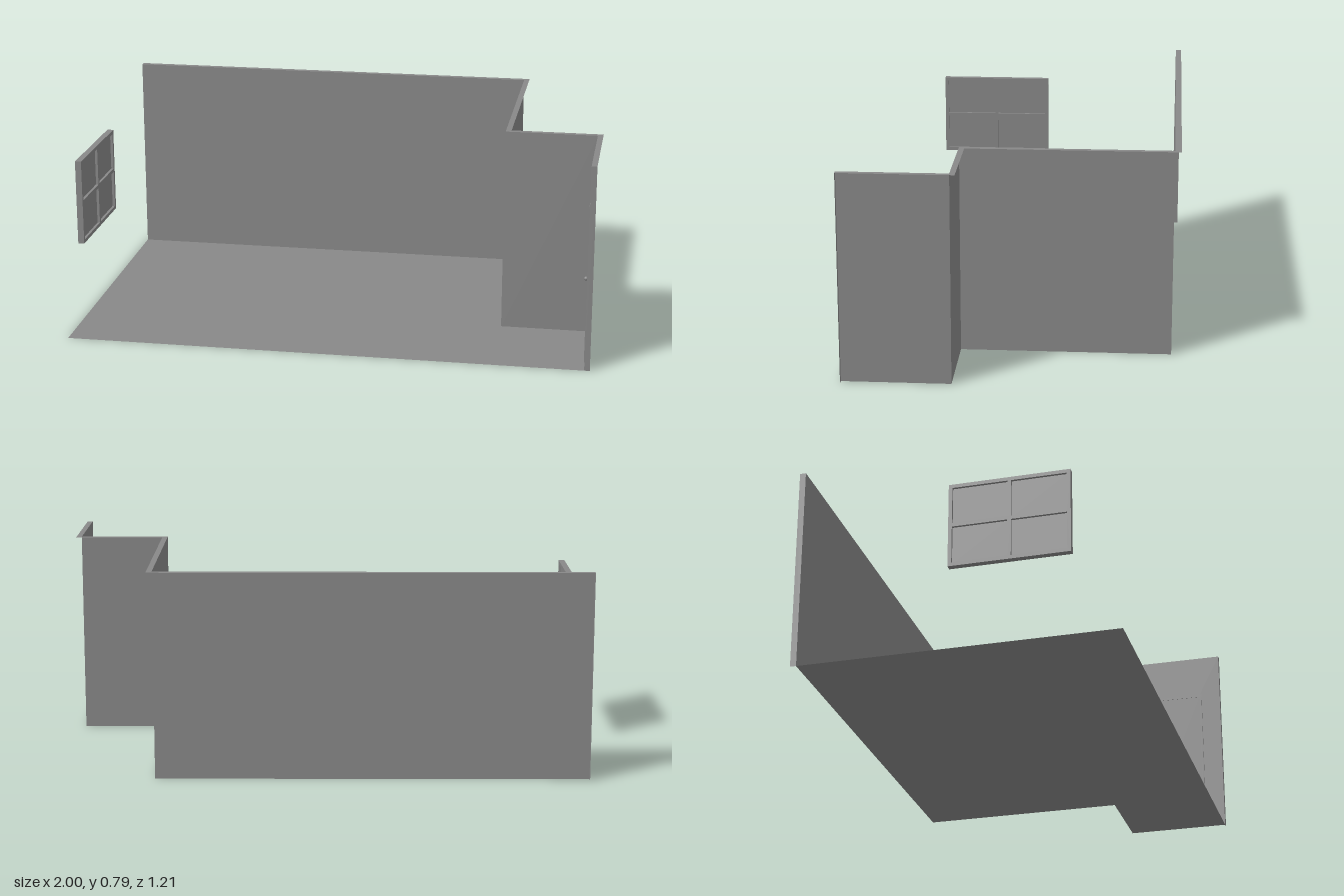
import * as THREE from 'three';

const mat = new THREE.MeshStandardMaterial({ color: 0x888888, side: THREE.DoubleSide, flatShading: true });
const smooth = new THREE.MeshStandardMaterial({ color: 0x888888 });

const H = 0.79;      // wall height
const FRONT = 0.607; // open front edge of the room
// wall line on the room side, and the matching outer line of the wall's thickness, as [x, z]
const inner = [[-1, -0.584], [0.631, -0.584], [0.631, 0.205], [0.979, 0.205], [0.979, FRONT]];
const outer = [[-1, -0.607], [0.652, -0.607], [0.652, 0.184], [1, 0.184], [1, FRONT]];

function add(group, name, geometry, material = mat) {
  const mesh = new THREE.Mesh(geometry, material);
  mesh.name = name;
  group.add(mesh);
  return mesh;
}

// flat four-cornered sheet
function quad(a, b, c, d) {
  const g = new THREE.BufferGeometry();
  g.setAttribute('position', new THREE.Float32BufferAttribute([...a, ...b, ...c, ...d], 3));
  g.setIndex([0, 1, 2, 0, 2, 3]);
  g.computeVertexNormals();
  return g;
}

const at = ([x, z], y) => [x, y, z];

function makeWalls() {
  const walls = new THREE.Group();
  walls.name = 'walls';
  for (let i = 0; i < 4; i++) {
    add(walls, 'wall', quad(at(inner[i], 0), at(inner[i + 1], 0), at(inner[i + 1], H), at(inner[i], H)));
    add(walls, 'wallTop', quad(at(inner[i], H), at(inner[i + 1], H), at(outer[i + 1], H), at(outer[i], H)));
  }
  for (const i of [0, 4]) {
    add(walls, 'wallEnd', quad(at(inner[i], 0), at(outer[i], 0), at(outer[i], H), at(inner[i], H)));
  }
  return walls;
}

// thin door and frame lying on the room side of the end wall
function makeDoor() {
  const group = new THREE.Group();
  group.name = 'door';
  const z0 = 0.262, z1 = 0.527, top = 0.613, trim = 0.01, back = 0.9785;
  const slab = (name, za, zb, ya, yb, depth) => add(group, name, new THREE.BoxGeometry(depth, yb - ya, zb - za))
    .position.set(back - depth / 2, (ya + yb) / 2, (za + zb) / 2);
  slab('doorPanel', z0 + trim, z1 - trim, 0, top - trim, 0.004);
  slab('doorJamb', z0, z0 + trim, 0, top - trim, 0.0055);
  slab('doorJamb', z1 - trim, z1, 0, top - trim, 0.0055);
  slab('doorHead', z0, z1, top - trim, top, 0.0055);
  // knob
  const stem = new THREE.CylinderGeometry(0.003, 0.003, 0.016, 8);
  stem.rotateZ(Math.PI / 2);
  add(group, 'knobStem', stem, smooth).position.set(0.967, 0.25, 0.295);
  add(group, 'knob', new THREE.SphereGeometry(0.008, 12, 8), smooth).position.set(0.959, 0.25, 0.295);
  return group;
}

function makeWindow() {
  const group = new THREE.Group();
  group.name = 'window';
  const w = 0.454, h = 0.332, border = 0.014, bar = 0.014, depth = 0.024;
  const rect = (Type, x, y, rw, rh) => new Type([
    [x, y], [x + rw, y], [x + rw, y + rh], [x, y + rh],
  ].map(p => new THREE.Vector2(...p)));
  const frame = rect(THREE.Shape, -w / 2, -h / 2, w, h);
  const pw = (w - 2 * border - bar) / 2, ph = (h - 2 * border - bar) / 2;
  for (const x of [-bar / 2 - pw, bar / 2]) {
    for (const y of [-bar / 2 - ph, bar / 2]) frame.holes.push(rect(THREE.Path, x, y, pw, ph));
  }
  const g = new THREE.ExtrudeGeometry(frame, { depth, bevelEnabled: false });
  g.translate(0, 0, -depth / 2);
  add(group, 'windowFrame', g);
  add(group, 'windowPane', new THREE.BoxGeometry(w - border, h - border, 0.004));
  group.rotation.y = Math.PI / 2;
  group.position.set(-1 + depth / 2, 0.49, 0.2);
  return group;
}

export function createModel() {
  const model = new THREE.Group();
  model.name = 'room';
  // L-shaped floor inside the wall line
  const floor = new THREE.ShapeGeometry(new THREE.Shape(
    [...inner, [-1, FRONT]].map(([x, z]) => new THREE.Vector2(x, -z))));
  floor.rotateX(-Math.PI / 2);
  add(model, 'floor', floor);
  model.add(makeWalls(), makeDoor(), makeWindow());
  return model;
}
